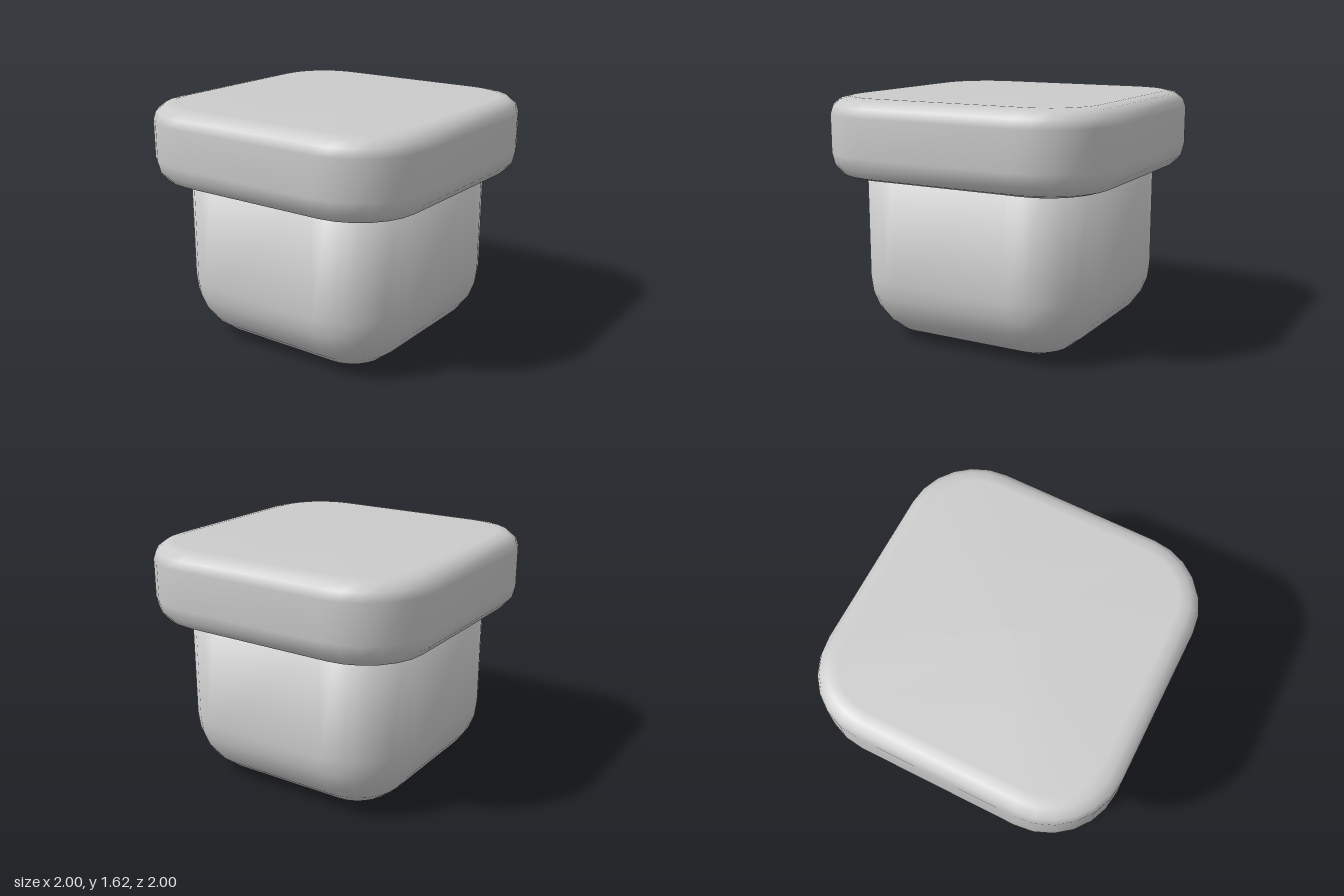
import * as THREE from 'three';

const CORNER_STEPS = 6;

// Quarter-round edge as [inset, y] pairs, from the flat face (yFlat) out to the wall (yWall)
function roundedEdge(inset, yFlat, yWall, steps) {
  return Array.from({ length: steps + 1 }, (_, i) => {
    const a = (i / steps) * Math.PI / 2;
    return [inset * (1 - Math.sin(a)), yWall + (yFlat - yWall) * Math.cos(a)];
  });
}

// Lofts a rounded square through [inset, y] levels (bottom to top) and caps both ends
function roundedSquareLoft(half, radius, levels) {
  const pos = [], idx = [];
  const n = 4 * (CORNER_STEPS + 1);
  for (const [inset, y] of levels) {
    const r = Math.max(radius - inset, 0.02);
    const c = half - inset - r;
    for (let q = 0; q < 4; q++) {
      const mid = (q + 0.5) * Math.PI / 2;
      const cx = c * Math.sign(Math.cos(mid)), cz = c * Math.sign(Math.sin(mid));
      for (let s = 0; s <= CORNER_STEPS; s++) {
        const a = (q + s / CORNER_STEPS) * Math.PI / 2;
        pos.push(cx + r * Math.cos(a), y, cz + r * Math.sin(a));
      }
    }
  }
  const bottom = levels.length * n, top = bottom + 1, last = (levels.length - 1) * n;
  pos.push(0, levels[0][1], 0, 0, levels[levels.length - 1][1], 0);
  for (let j = 0; j < n; j++) {
    const k = (j + 1) % n;
    for (let i = 0; i < levels.length - 1; i++) {
      const a = i * n + j, b = i * n + k;
      idx.push(a, a + n, b, b, a + n, b + n);
    }
    idx.push(bottom, j, k, top, last + k, last + j);
  }
  const geo = new THREE.BufferGeometry();
  geo.setAttribute('position', new THREE.Float32BufferAttribute(pos, 3));
  geo.setIndex(idx);
  geo.computeVertexNormals();
  return geo;
}

export function createModel() {
  const group = new THREE.Group();
  const material = new THREE.MeshStandardMaterial({ color: 0xcccccc });
  const add = (name, geometry) => {
    const mesh = new THREE.Mesh(geometry, material);
    mesh.name = name;
    group.add(mesh);
  };

  // Deep body with a softly rounded base, its top tucked into the rim
  add('body', roundedSquareLoft(0.825, 0.42, [
    ...roundedEdge(0.4, 0, 0.42, 6),
    [0, 1.2],
  ]));

  // Wide overhanging slab on top
  add('rim', roundedSquareLoft(1, 0.47, [
    ...roundedEdge(0.14, 1.1, 1.26, 3),
    ...roundedEdge(0.14, 1.62, 1.51, 3).reverse(),
  ]));

  return group;
}
